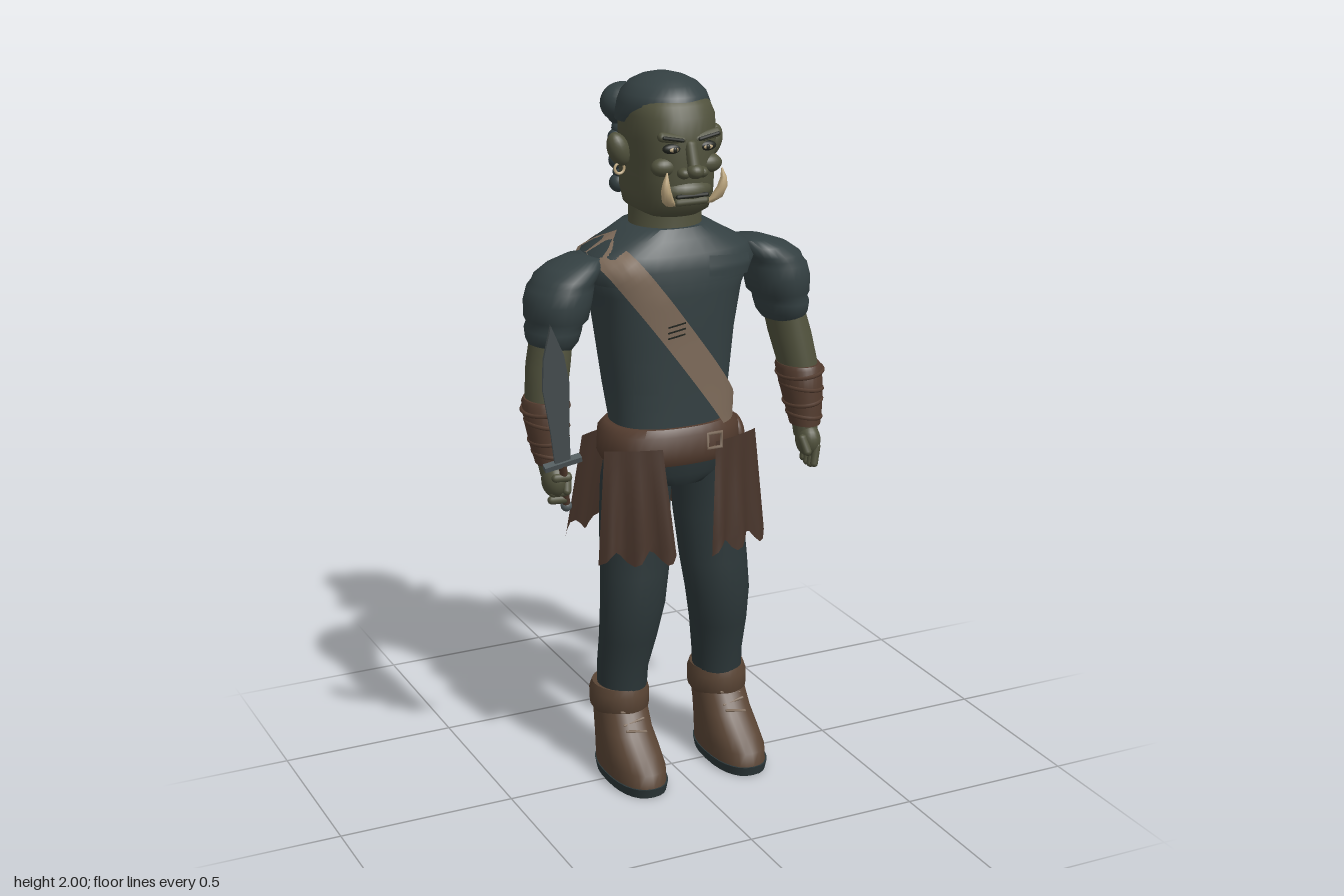
import * as THREE from 'three';
import { toCreasedNormals } from 'three/addons/utils/BufferGeometryUtils.js';

const mat = (name, color, side = THREE.FrontSide) => {
  const m = new THREE.MeshStandardMaterial({ color, side });
  m.name = name;
  return m;
};

// Closed body from horizontal rings [y, cx, cz, rx, rz], bottom to top
function loft(rings, power = 2, n = 28) {
  const f = rings[0], l = rings[rings.length - 1];
  const all = [[f[0], f[1], f[2], 1e-4, 1e-4], ...rings, [l[0], l[1], l[2], 1e-4, 1e-4]];
  const pos = [], idx = [];
  const bend = v => Math.sign(v) * Math.abs(v) ** (2 / power);
  all.forEach(([y, cx, cz, rx, rz], i) => {
    for (let j = 0; j < n; j++) {
      const a = (j / n) * Math.PI * 2;
      pos.push(cx + rx * bend(Math.cos(a)), y, cz + rz * bend(Math.sin(a)));
      if (i === all.length - 1) continue;
      const p = i * n + j, q = i * n + (j + 1) % n;
      idx.push(p, p + n, q, q, p + n, q + n);
    }
  });
  const g = new THREE.BufferGeometry();
  g.setAttribute('position', new THREE.Float32BufferAttribute(pos, 3));
  g.setIndex(idx);
  return toCreasedNormals(g, 0.9);
}

const CX = 0.013;
const TORSO = [
  [0.98, CX, -0.05, 0.17, 0.115], [1.05, CX, -0.055, 0.166, 0.12], [1.15, CX, -0.07, 0.176, 0.138],
  [1.3, CX, -0.078, 0.194, 0.152], [1.42, CX, -0.075, 0.214, 0.158], [1.49, CX, -0.073, 0.245, 0.152],
  [1.53, CX, -0.073, 0.225, 0.142], [1.565, CX, -0.073, 0.16, 0.12], [1.595, CX, -0.072, 0.108, 0.105],
];
const POWER = 2.4;

// Point on the torso surface, pushed out by off
function onTorso(x, y, sign, off) {
  let i = 0;
  while (i < TORSO.length - 2 && TORSO[i + 1][0] < y) i++;
  const a = TORSO[i], b = TORSO[i + 1];
  const t = THREE.MathUtils.clamp((y - a[0]) / (b[0] - a[0]), 0, 1);
  const s = a.map((v, k) => v + (b[k] - v) * t);
  const u = THREE.MathUtils.clamp((x - CX) / (s[3] + off), -1, 1);
  return [CX + u * (s[3] + off), y, s[2] + sign * (s[4] + off) * (1 - Math.abs(u) ** POWER) ** (1 / POWER)];
}

// Flat band that hugs the torso between two points
function band(x0, y0, x1, y1, width, sign, off) {
  const g = new THREE.PlaneGeometry(1, 1, 8, 28), p = g.attributes.position;
  const len = Math.hypot(x1 - x0, y1 - y0), nx = -(y1 - y0) / len, ny = (x1 - x0) / len;
  for (let i = 0; i < p.count; i++) {
    const w = p.getX(i) * width, t = 0.5 - p.getY(i);
    p.setXYZ(i, ...onTorso(x0 + (x1 - x0) * t + nx * w, y0 + (y1 - y0) * t + ny * w, sign, off));
  }
  g.computeVertexNormals();
  return g;
}

// Hanging leather flap, flared, folded and ragged at the hem
function flapGeometry(cx, sign) {
  const g = new THREE.PlaneGeometry(1, 1, 14, 8), p = g.attributes.position;
  for (let i = 0; i < p.count; i++) {
    const u = p.getX(i) * 2, v = 0.5 - p.getY(i);
    const x = cx + u * (0.075 + 0.026 * v);
    const y = 1.0 - v * (0.305 + 0.02 * Math.cos(u * 7 + 1));
    const flare = sign > 0 ? 0.092 + 0.03 * v : 0.085 + 0.085 * v;
    const z = flare - 1.2 * (x - CX) ** 2 + 0.014 * v * Math.cos(u * 8);
    p.setXYZ(i, x, y, sign > 0 ? z : -z - 0.1);
  }
  g.computeVertexNormals();
  return g;
}

export function createModel() {
  const model = new THREE.Group();
  const M = {
    cloth: mat('dark cloth', 0x344042, THREE.DoubleSide),
    trousers: mat('trousers and soles', 0x2c3739),
    skin: mat('green skin', 0x50513c),
    leather: mat('brown leather', 0x523b2e),
    flap: mat('dark leather', 0x47342a, THREE.DoubleSide),
    boot: mat('boot leather', 0x594434),
    strap: mat('pale strap', 0x7f6c5b, THREE.DoubleSide),
    ivory: mat('ivory', 0xc2ab82),
    steel: mat('steel', 0x525b5d),
    ink: mat('face dark', 0x22251f),
  };
  const add = (name, geo, material, parent = model) => {
    const m = new THREE.Mesh(geo, material);
    m.name = name;
    parent.add(m);
    return m;
  };
  const ball = (name, material, x, y, z, rx, ry = rx, rz = rx) => {
    const m = add(name, new THREE.SphereGeometry(1, 20, 14), material);
    m.position.set(x, y, z);
    m.scale.set(rx, ry, rz);
    return m;
  };
  const rod = (name, material, r, len, x, y, z, rotX = 0, rotZ = 0) => {
    const m = add(name, new THREE.CapsuleGeometry(r, len, 4, 10), material);
    m.position.set(x, y, z);
    m.rotation.set(rotX, 0, rotZ);
    return m;
  };

  // Torso, shoulder mantle, hips
  add('tunic', loft(TORSO, POWER, 40), M.cloth);
  const mantle = TORSO.slice(5).map(([y, x, z, a, b]) => [y + 0.004, x, z, a + 0.008, b + 0.008]);
  add('mantle', loft([[1.455, CX, -0.074, 0.235, 0.164], ...mantle], POWER, 40), M.cloth);
  add('hips', loft([[0.875, 0.02, -0.05, 0.1, 0.1], [0.91, 0.02, -0.05, 0.18, 0.12], [1.0, CX, -0.05, 0.185, 0.125]], 2.3), M.trousers);
  add('chestPatch', band(0.07, 1.5, 0.21, 1.485, 0.055, 1, 0.014), M.cloth);
  add('bellyPatch', band(-0.1, 1.24, -0.1, 1.1, 0.06, 1, 0.006), M.cloth);

  // Strap across chest and back, with stitches
  for (const s of [1, -1]) add(s > 0 ? 'strapFront' : 'strapBack', band(-0.205, 1.56, 0.18, 1.045, 0.085, s, 0.017), M.strap);
  for (let i = 0; i < 3; i++) add('stitch', band(-0.055, 1.345 - i * 0.016, -0.005, 1.355 - i * 0.016, 0.005, 1, 0.021), M.ink);

  // Belt, buckles, pouch, flaps
  add('belt', loft([[0.945, CX, -0.05, 0.195, 0.132], [0.965, CX, -0.05, 0.205, 0.142], [1.03, CX, -0.052, 0.2, 0.142],
    [1.05, CX, -0.052, 0.18, 0.128]], 2.3, 40), M.leather);
  for (const [x, z] of [[0.09, 0.085], [0.06, -0.192]]) {
    const b = add('buckle', new THREE.TorusGeometry(0.027, 0.006, 6, 4), M.strap);
    b.position.set(x, 1.005, z);
    b.rotation.z = Math.PI / 4;
    b.scale.set(1.1, 1.1, 0.8);
  }
  ball('pouch', M.leather, 0.228, 0.95, -0.08, 0.032, 0.068, 0.052);
  for (const x of [-0.142, 0.17]) for (const s of [1, -1]) add(s > 0 ? 'frontFlap' : 'backFlap', flapGeometry(x, s), M.flap);

  for (const s of [-1, 1]) {
    // Legs
    const leg = r => r.map(([y, x, ...k]) => [y, 0.022 + s * x, ...k]);
    add('leg', loft(leg([[0.2, 0.153, -0.06, 0.068, 0.075], [0.32, 0.15, -0.057, 0.072, 0.079], [0.42, 0.142, -0.035, 0.082, 0.085],
      [0.52, 0.133, -0.023, 0.092, 0.091], [0.62, 0.123, -0.03, 0.097, 0.096], [0.76, 0.114, -0.05, 0.098, 0.105],
      [0.88, 0.108, -0.052, 0.096, 0.115], [0.96, 0.1, -0.05, 0.088, 0.115]])), M.trousers);
    // Boots
    add('sole', loft(leg([[0, 0.158, 0.015, 0.076, 0.152], [0.028, 0.158, 0.015, 0.081, 0.159]]), 2.4), M.trousers);
    add('boot', loft(leg([[0.028, 0.158, 0.014, 0.078, 0.156], [0.065, 0.158, 0.01, 0.079, 0.152], [0.1, 0.158, -0.01, 0.077, 0.132],
      [0.145, 0.158, -0.04, 0.074, 0.104], [0.2, 0.156, -0.063, 0.073, 0.086]]), 2.3), M.boot);
    add('bootCuff', loft(leg([[0.185, 0.156, -0.067, 0.074, 0.084], [0.2, 0.156, -0.068, 0.083, 0.093], [0.245, 0.156, -0.069, 0.084, 0.094],
      [0.268, 0.155, -0.068, 0.077, 0.086]])), M.boot);
    for (let i = 0; i < 3; i++) rod('lace', M.strap, 0.004, 0.06, 0.022 + s * 0.158, 0.155 + i * 0.022, 0.054 - i * 0.018, 0, 1.57 + (i % 2 ? 0.2 : -0.2));

    // Arms
    const arm = r => r.map(([y, x, ...k]) => [y, 0.015 + s * x, ...k]);
    add('sleeve', loft(arm([[1.295, 0.35, -0.047, 0.056, 0.074], [1.315, 0.348, -0.047, 0.068, 0.09], [1.345, 0.345, -0.047, 0.074, 0.098],
      [1.36, 0.34, -0.047, 0.072, 0.096], [1.375, 0.335, -0.047, 0.084, 0.105], [1.42, 0.33, -0.047, 0.09, 0.108],
      [1.455, 0.322, -0.047, 0.088, 0.106], [1.47, 0.315, -0.047, 0.082, 0.1], [1.485, 0.305, -0.047, 0.086, 0.1],
      [1.51, 0.28, -0.05, 0.076, 0.085], [1.53, 0.25, -0.055, 0.05, 0.06]])), M.cloth);
    add('arm', loft(arm([[0.96, 0.387, 0.035, 0.032, 0.038], [1.02, 0.39, 0.022, 0.038, 0.045], [1.1, 0.388, 0, 0.048, 0.06],
      [1.17, 0.382, -0.015, 0.055, 0.068], [1.25, 0.367, -0.032, 0.058, 0.073], [1.33, 0.35, -0.045, 0.055, 0.074]])), M.skin);
    add('bracer', loft(arm([[0.995, 0.388, 0.028, 0.042, 0.05], [1.04, 0.389, 0.017, 0.05, 0.06], [1.1, 0.388, 0.001, 0.058, 0.072],
      [1.155, 0.385, -0.01, 0.063, 0.078], [1.165, 0.384, -0.012, 0.058, 0.073]])), M.leather);
    for (let i = 0; i < 4; i++) {
      const t = i / 3;
      const w = add('bracerWrap', new THREE.TorusGeometry(1, 0.1, 6, 24), M.leather);
      w.position.set(0.015 + s * 0.388, 1.02 + 0.12 * t, 0.022 - 0.029 * t);
      w.rotation.set(Math.PI / 2, i % 2 ? 0.15 : -0.12, 0);
      w.scale.set(0.046 + 0.015 * t, 0.057 + 0.019 * t, 0.06);
    }
    // Hands: the right grips, the left hangs loose
    const hx = 0.015 + s * 0.388;
    ball('palm', M.skin, hx, 0.95, 0.048, 0.034, 0.048, 0.042);
    for (let i = 0; i < 4; i++) {
      if (s < 0) rod('finger', M.skin, 0.012, 0.035, hx + 0.008, 0.965 - i * 0.024, 0.082 - i * 0.01, 0.2, 1.5);
      else rod('finger', M.skin, 0.011, 0.05, hx + 0.008, 0.912 - (i % 3 ? 0.006 : 0), 0.016 + i * 0.021, -0.1, -0.2);
    }
    rod('thumb', M.skin, 0.012, 0.04, hx - s * 0.025, 0.945, 0.078, -0.4, s * 0.2);

    // Ears, eyes, brows, tusks
    const ear = ball('ear', M.skin, CX + s * 0.137, 1.805, -0.068, 0.03, 0.048, 0.03);
    ear.rotation.z = -s * 0.35;
    const ring = add('earRing', new THREE.TorusGeometry(0.014, 0.004, 6, 14), M.ivory);
    ring.position.set(CX + s * 0.138, 1.755, -0.06);
    ball('eyeSocket', M.ink, CX + s * 0.05, 1.826, 0.08, 0.028, 0.014, 0.014);
    ball('eye', M.ivory, CX + s * 0.05, 1.825, 0.087, 0.016, 0.008, 0.009);
    ball('pupil', M.ink, CX + s * 0.048, 1.825, 0.094, 0.006, 0.007, 0.004);
    rod('browRidge', M.skin, 0.013, 0.06, CX + s * 0.05, 1.853, 0.08, 0, Math.PI / 2 + s * 0.2);
    rod('eyebrow', M.ink, 0.005, 0.055, CX + s * 0.052, 1.853, 0.092, 0, Math.PI / 2 + s * 0.2);
    ball('nostril', M.skin, CX + s * 0.026, 1.762, 0.1, 0.018, 0.015, 0.02);
    ball('cheek', M.skin, CX + s * 0.065, 1.775, 0.062, 0.038, 0.026, 0.026);
    add('tusk', loft([[1.675, CX + s * 0.055, 0.083, 0.014, 0.012], [1.69, CX + s * 0.07, 0.098, 0.017, 0.015],
      [1.72, CX + s * 0.082, 0.11, 0.014, 0.013], [1.745, CX + s * 0.084, 0.114, 0.009, 0.009], [1.77, CX + s * 0.08, 0.112, 0.002, 0.002]], 2, 12), M.ivory);
  }

  // Neck and head
  add('neck', loft([[1.54, CX, -0.07, 0.115, 0.11], [1.6, CX, -0.07, 0.1, 0.1], [1.67, CX, -0.07, 0.098, 0.1]]), M.skin);
  add('head', loft([[1.632, CX, -0.06, 0.08, 0.1], [1.65, CX, -0.066, 0.103, 0.138], [1.69, CX, -0.064, 0.111, 0.153],
    [1.74, CX, -0.062, 0.112, 0.156], [1.79, CX, -0.061, 0.113, 0.155], [1.84, CX, -0.06, 0.118, 0.153], [1.9, CX, -0.06, 0.117, 0.145],
    [1.93, CX, -0.062, 0.106, 0.13], [1.955, CX, -0.07, 0.085, 0.1], [1.975, CX, -0.075, 0.05, 0.06]], 2.4, 40), M.skin);
  rod('noseBridge', M.skin, 0.017, 0.06, CX, 1.802, 0.1, -0.35);
  ball('noseTip', M.skin, CX, 1.768, 0.115, 0.024, 0.02, 0.024);
  ball('muzzle', M.skin, CX, 1.708, 0.06, 0.072, 0.036, 0.045);
  rod('mouth', M.ink, 0.006, 0.085, CX, 1.7, 0.099, 0, Math.PI / 2);
  rod('lowerLip', M.skin, 0.011, 0.08, CX, 1.684, 0.092, 0, Math.PI / 2);

  // Hair with bun and braid
  add('hair', loft([[1.875, CX, -0.105, 0.122, 0.112], [1.895, CX, -0.092, 0.125, 0.126], [1.925, CX, -0.078, 0.122, 0.138],
    [1.95, CX, -0.078, 0.112, 0.13], [1.975, CX, -0.08, 0.088, 0.105], [1.99, CX, -0.082, 0.058, 0.07], [2.0, CX, -0.083, 0.02, 0.025]], 2, 36), M.cloth);
  ball('bun', M.cloth, -0.057, 1.905, -0.188, 0.062, 0.056, 0.058);
  for (let i = 0; i < 7; i++) {
    const k = ball('braidKnot', M.cloth, -0.052 + (i % 2 ? 0.006 : -0.006), 1.865 - i * 0.031, -0.216, 0.032 - i * 0.001, 0.026, 0.026);
    k.rotation.z = i % 2 ? 0.5 : -0.5;
  }
  const tie = add('braidTie', new THREE.TorusGeometry(0.03, 0.006, 6, 16), M.strap);
  tie.position.set(-0.052, 1.862, -0.212);
  tie.rotation.x = Math.PI / 2;

  // Sword, leaning outward and forward
  const sword = new THREE.Group();
  sword.name = 'sword';
  const up = new THREE.Vector3(-0.1, 0.45, 0.17).normalize();
  const flat = new THREE.Vector3(0, -0.17, 0.45).normalize();
  const across = new THREE.Vector3().crossVectors(up, flat).normalize();
  sword.quaternion.setFromRotationMatrix(new THREE.Matrix4().makeBasis(across, up, flat));
  sword.position.set(-0.368, 1.012, 0.096);
  const outline = new THREE.Shape([[-0.022, 0], [0.022, 0], [0.026, 0.12], [0.037, 0.27], [0.028, 0.37], [0, 0.475], [-0.028, 0.37], [-0.037, 0.27], [-0.026, 0.12]]
    .map(p => new THREE.Vector2(...p)));
  add('blade', new THREE.ExtrudeGeometry(outline, { depth: 0.008, bevelEnabled: false }).translate(0, 0, -0.004), M.steel, sword);
  add('guard', new THREE.BoxGeometry(0.105, 0.016, 0.02), M.steel, sword);
  add('grip', new THREE.CylinderGeometry(0.011, 0.011, 0.15, 12).translate(0, -0.08, 0), M.leather, sword);
  add('pommel', new THREE.SphereGeometry(0.016, 12, 8).translate(0, -0.158, 0), M.steel, sword);
  model.add(sword);
  return model;
}
